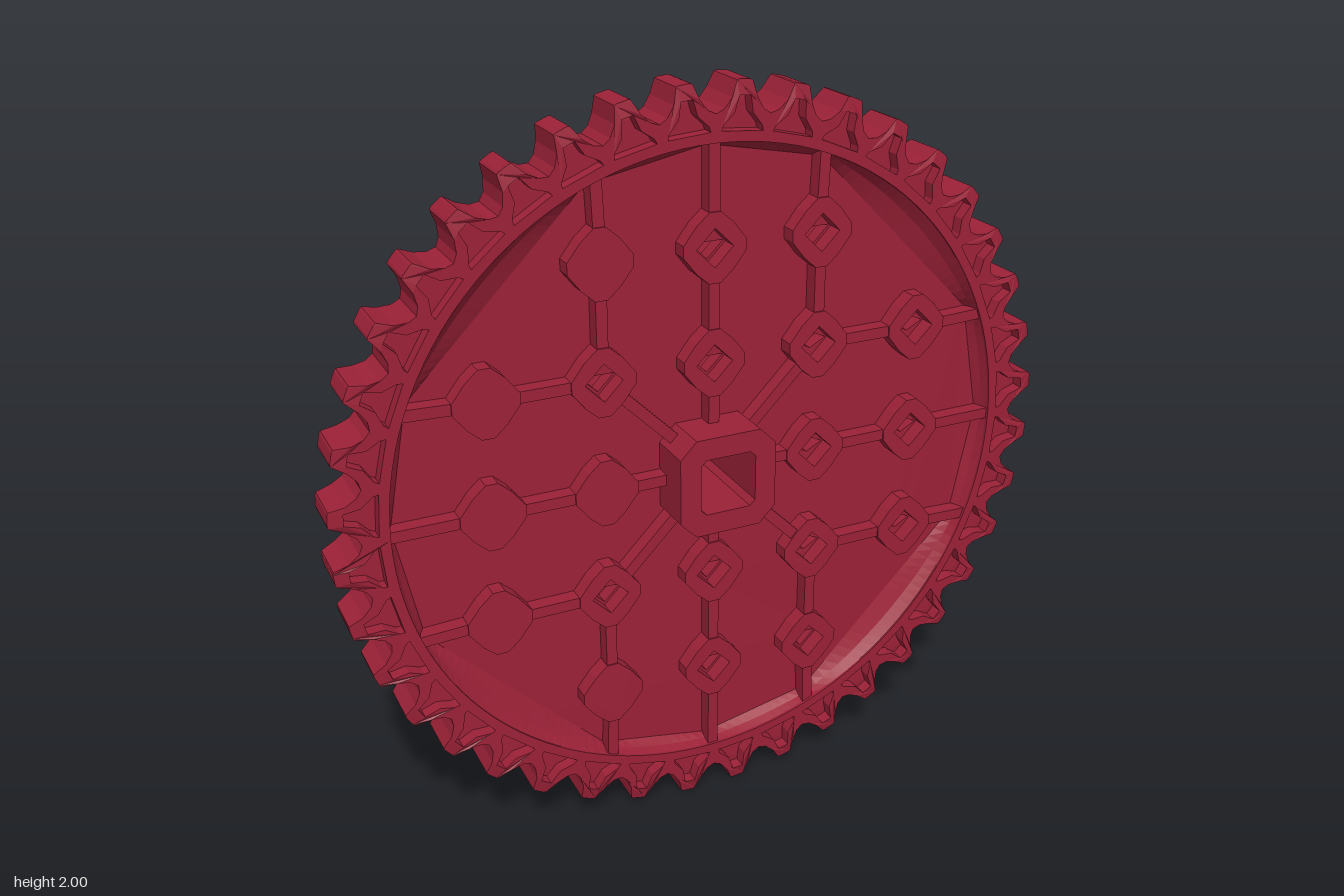
import * as THREE from 'three';

const TEETH = 40, PITCH = 360 / TEETH, RIM_IN = 0.857, RIM_Z = 0.07, WEB_Z = 0.02;
const rad = THREE.MathUtils.degToRad;
const polar = (deg, r) => new THREE.Vector2(r * Math.cos(rad(deg)), r * Math.sin(rad(deg)));
const pts = (list, x = 0, y = 0) => list.map(([a, b]) => new THREE.Vector2(a + x, b + y));

// Prism between two depths, with optional through-holes
function prism(outline, holes, z0, z1) {
  const shape = new THREE.Shape(outline);
  holes.forEach(h => shape.holes.push(new THREE.Path(h)));
  const geo = new THREE.ExtrudeGeometry(shape, { depth: z1 - z0, bevelEnabled: false, curveSegments: 1 });
  return geo.translate(0, 0, z0);
}

const circle = (r, n) => Array.from({ length: n }, (_, i) => polar(i * 360 / n, r));

// Square with cut corners
function cutSquare(h, c) {
  const k = h - c;
  return pts([[h, -k], [h, k], [k, h], [-k, h], [-h, k], [-h, -k], [-k, -h], [k, -h]]);
}

// Tooth outline and pocket as [angle from tooth centre, radius]
const TOOTH = [[-4.5, 0.926], [-3.2, 0.936], [-2, 0.962], [-1.2, 1], [-0.8, 1.002], [0.8, 1.002], [1.2, 1], [2, 0.962], [3.2, 0.936]];
const POCKET = [[-3.6, 0.884], [3.6, 0.884], [3.3, 0.897], [1.5, 0.925], [0.9, 0.966], [-0.9, 0.966], [-1.5, 0.925], [-3.3, 0.897]];

// Tooth tips narrow slightly in depth
function taper(geo) {
  const p = geo.attributes.position;
  for (let i = 0; i < p.count; i++) {
    if (Math.hypot(p.getX(i), p.getY(i)) > 0.97) p.setZ(i, p.getZ(i) * 0.88);
  }
  geo.computeVertexNormals();
  return geo;
}

// Radius of the recessed panel's edge, straight between the rib ends
function panelRadius(deg) {
  const corners = [0, 22, 68, 90], a = ((deg % 90) + 90) % 90;
  const i = a < 22 ? 0 : a < 68 ? 1 : 2;
  const half = (corners[i + 1] - corners[i]) / 2;
  return 0.845 * Math.cos(rad(half)) / Math.cos(rad(a - corners[i] - half));
}

// Sloping fillet from the rim face down to the web
function filletGeometry() {
  const n = 180, pos = [], idx = [];
  for (let i = 0; i <= n; i++) {
    const deg = i * 360 / n, r = panelRadius(deg);
    const rings = [[RIM_IN + 0.002, RIM_Z - 0.003], [RIM_IN * 0.65 + r * 0.35, 0.04], [r, WEB_Z]];
    rings.forEach(([q, z]) => { const v = polar(deg, q); pos.push(v.x, v.y, z); });
  }
  for (let i = 0; i < n; i++) {
    for (let j = 0; j < 2; j++) {
      const a = i * 3 + j, b = a + 3;
      idx.push(a, b, a + 1, b, b + 1, a + 1);
    }
  }
  const geo = new THREE.BufferGeometry();
  geo.setAttribute('position', new THREE.Float32BufferAttribute(pos, 3));
  geo.setIndex(idx);
  geo.computeVertexNormals();
  return geo;
}

export function createModel() {
  const model = new THREE.Group();
  const wheel = new THREE.Group();
  wheel.name = 'sprocketWheel';
  wheel.position.y = 1;
  model.add(wheel);

  const red = new THREE.MeshStandardMaterial({ color: 0x9b2137, flatShading: true, side: THREE.DoubleSide });
  red.name = 'deep red';
  const add = (name, geo, parent = wheel) => {
    const mesh = new THREE.Mesh(geo, red);
    mesh.name = name;
    parent.add(mesh);
    return mesh;
  };

  // Toothed rim: solid core with pocketed faces front and back
  const outline = [], pockets = [];
  for (let i = 0; i < TEETH; i++) {
    const mid = (i + 0.5) * PITCH;
    TOOTH.forEach(([a, r]) => outline.push(polar(mid + a, r)));
    pockets.push(POCKET.map(([a, r]) => polar(mid + a, r)));
  }
  const bore = circle(RIM_IN, 120);
  add('rimCore', taper(prism(outline, [bore], -0.035, 0.035)));
  add('rimFrontFace', taper(prism(outline, [bore, ...pockets], 0.035, RIM_Z)));
  add('rimBackFace', taper(prism(outline, [bore, ...pockets], -RIM_Z, -0.035)));

  // Fillets inside the rim
  add('frontFillet', filletGeometry());
  add('backFillet', filletGeometry()).rotation.y = Math.PI;

  // Boss positions on a 0.3 grid, some with openings
  const bosses = [];
  for (let i = -2; i <= 2; i++) {
    for (let j = -2; j <= 2; j++) {
      const corner = Math.abs(i) + Math.abs(j) === 4, centre = !i && !j;
      if (corner || centre) continue;
      const closed = i === -2 || (i === -1 && (j === 0 || Math.abs(j) === 2));
      bosses.push({ x: i * 0.3, y: j * 0.3, closed, wide: i > 0 && Math.abs(j) < 2 });
    }
  }

  // Thin web with hub bore and small openings
  const opening = b => b.wide
    ? pts([[-0.045, 0], [0, -0.024], [0.045, 0], [0, 0.02]], b.x, b.y)
    : pts([[-0.045, 0.004], [0, -0.04], [0.045, 0.004]], b.x, b.y);
  const hubBore = cutSquare(0.077, 0.015);
  const webHoles = [hubBore, ...bosses.filter(b => !b.closed).map(opening)];
  add('web', prism(circle(0.859, 120), webHoles, -WEB_Z, WEB_Z));

  // Diamond bosses
  const diamond = [[0.085, -0.015], [0.085, 0.015], [0.05, 0.06], [0.016, 0.09], [-0.016, 0.09], [-0.05, 0.06],
    [-0.085, 0.015], [-0.085, -0.015], [-0.05, -0.06], [-0.016, -0.09], [0.016, -0.09], [0.05, -0.06]];
  const eye = [[0.05, 0], [0, 0.05], [-0.05, 0], [0, -0.05]];
  bosses.forEach(b => {
    const holes = b.closed ? [] : [pts(eye, b.x, b.y)];
    add('boss', prism(pts(diamond, b.x, b.y), holes, -0.066, 0.066));
  });

  // Ribs for one quarter, repeated around the hub
  const ribs = [
    [0.12, 0, 0.225, 0], [0.375, 0, 0.525, 0], [0.675, 0, 0.862, 0],
    [0.1, 0.1, 0.25, 0.25],
    [0.375, 0.3, 0.525, 0.3], [0.675, 0.3, 0.808, 0.305],
    [0.3, 0.375, 0.3, 0.525], [0.3, 0.675, 0.305, 0.808],
  ];
  for (let q = 0; q < 4; q++) {
    const quarter = new THREE.Group();
    quarter.name = 'ribQuarter';
    quarter.rotation.z = q * Math.PI / 2;
    wheel.add(quarter);
    ribs.forEach(([x0, y0, x1, y1]) => {
      const rib = add('rib', new THREE.BoxGeometry(Math.hypot(x1 - x0, y1 - y0), 0.03, 0.124), quarter);
      rib.position.set((x0 + x1) / 2, (y0 + y1) / 2, 0);
      rib.rotation.z = Math.atan2(y1 - y0, x1 - x0);
    });
  }

  // Hub with square bore
  add('hub', prism(cutSquare(0.135, 0.045), [hubBore], -0.148, 0.148));

  return model;
}
